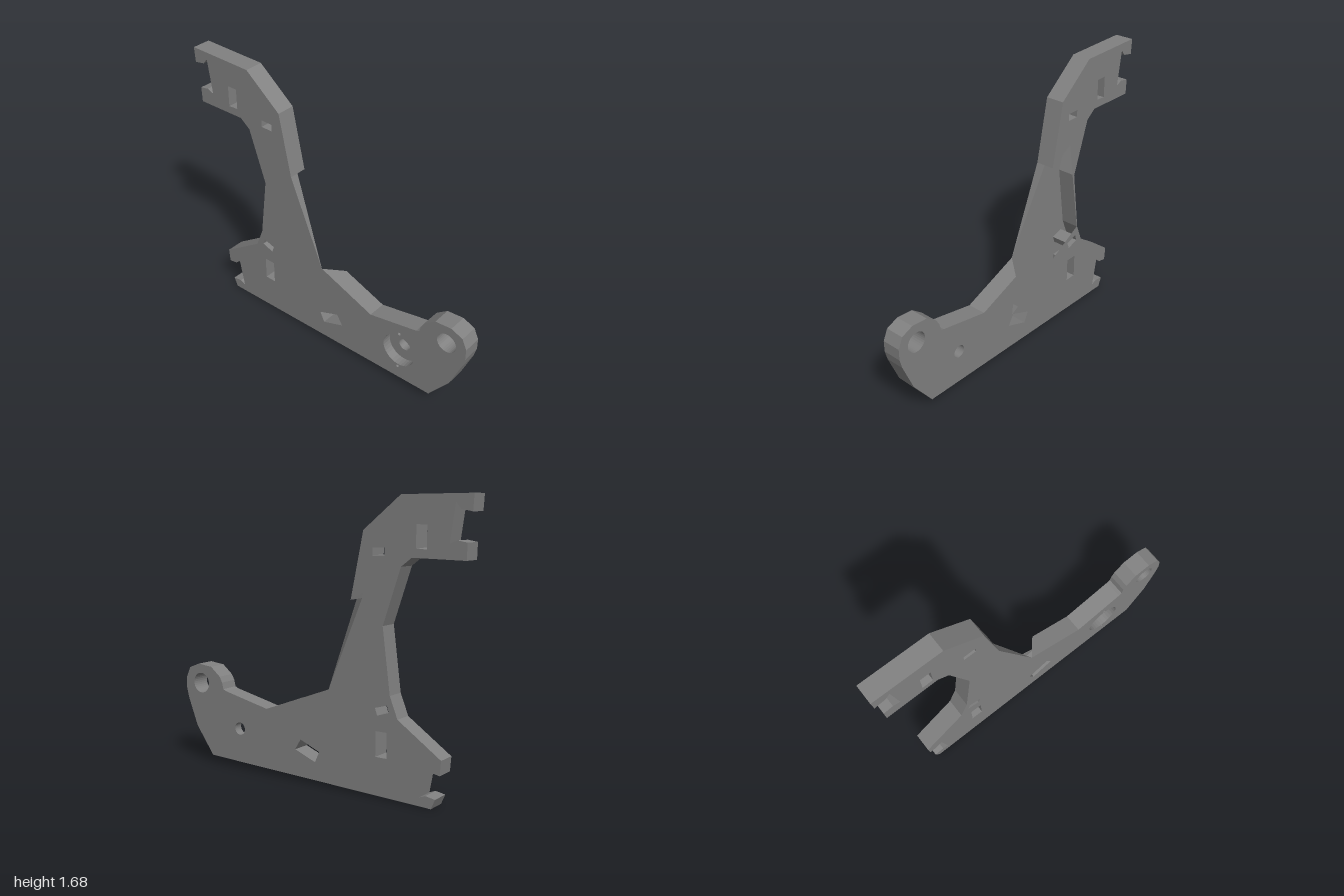
import * as THREE from 'three';

const X0 = -0.06, X1 = 0.055, BORE_X = 0.0;

// Profile points are [z, y]
const frontEnd = [
  [-0.785, 0.003], [0.785, 0.05], [0.915, 0.225], [0.985, 0.4], [1, 0.46], [1, 0.53],
  [0.97, 0.595], [0.895, 0.625], [0.79, 0.615], [0.72, 0.56], [0.7, 0.525], [0.69, 0.485],
  [0.67, 0.475], [0.345, 0.405],
];
const ledgeEnd = [-0.03, 0.55];
const arm = [
  [-0.26, 1.1], [-0.34, 1.485], [-0.575, 1.675], [-1, 1.68], [-0.994, 1.588], [-0.927, 1.6],
  [-0.898, 1.635], [-0.867, 1.425], [-0.91, 1.442], [-0.968, 1.432], [-0.965, 1.34],
  [-0.645, 1.345], [-0.58, 1.295], [-0.47, 0.97], [-0.52, 0.59], [-0.57, 0.465],
  [-0.842, 0.28], [-0.835, 0.195], [-0.78, 0.205], [-0.745, 0.235], [-0.712, 0.055],
  [-0.75, 0.07], [-0.81, 0.06],
];
const outline = [...frontEnd, ledgeEnd, ...arm];
// Outline of the opened side: the arm is cut away down to the lower body
const openOutline = [
  ...frontEnd, [0.065, 0.512], [0.1, 0.258], [-0.514, 0.594], [-0.42, 1.19], ...arm,
];

const circle = (z, y, r, n = 32) => Array.from({ length: n }, (_, i) => {
  const a = (i / n) * Math.PI * 2;
  return [z + r * Math.cos(a), y + r * Math.sin(a)];
});
const slots = [
  [[0.09, 0.255], [-0.045, 0.2], [-0.015, 0.135], [0.13, 0.19]],
  [[-0.4, 1.35], [-0.477, 1.35], [-0.477, 1.393], [-0.4, 1.393]],
  [[-0.67, 1.395], [-0.735, 1.39], [-0.735, 1.52], [-0.67, 1.52]],
  [[-0.43, 0.235], [-0.502, 0.235], [-0.502, 0.382], [-0.43, 0.382]],
  [[-0.425, 0.512], [-0.502, 0.535], [-0.515, 0.495], [-0.44, 0.47]],
];
const eye = circle(0.873, 0.505, 0.063);
const pivot = circle(0.557, 0.253, 0.039);
const bore = circle(0.557, 0.253, 0.11);
const pins = [-1, 1].map((s) => circle(0.557, 0.253 + s * 0.127, 0.01, 12));

// Flat face at a given x
function cap(points, holes, x) {
  const v = (p) => p.map(([z, y]) => new THREE.Vector2(-z, y));
  const shape = new THREE.Shape(v(points));
  shape.holes = holes.map((h) => new THREE.Path(v(h)));
  return new THREE.ShapeGeometry(shape).rotateY(Math.PI / 2).translate(x, 0, 0);
}

// Flat-shaded surface from convex polygons of [x, y, z] corners
function faces(polys) {
  const pos = [];
  for (const p of polys) {
    for (let i = 1; i < p.length - 1; i++) pos.push(...p[0], ...p[i], ...p[i + 1]);
  }
  const g = new THREE.BufferGeometry();
  g.setAttribute('position', new THREE.Float32BufferAttribute(pos, 3));
  g.computeVertexNormals();
  return g;
}

// Quads joining a profile across the thickness
const band = (pts, xa, xb, closed = true) => {
  const quads = [];
  for (let i = 0; i < pts.length - (closed ? 0 : 1); i++) {
    const [az, ay] = pts[i], [bz, by] = pts[(i + 1) % pts.length];
    quads.push([[xb, ay, az], [xa, ay, az], [xa, by, bz], [xb, by, bz]]);
  }
  return quads;
};

export function createModel() {
  const group = new THREE.Group();
  const metal = new THREE.MeshStandardMaterial({ color: 0x808080, side: THREE.DoubleSide });
  metal.name = 'grey metal';
  const add = (name, geometry) => {
    const mesh = new THREE.Mesh(geometry, metal);
    mesh.name = name;
    group.add(mesh);
  };

  // Side faces
  add('closedSideFace', cap(outline, [...slots, eye, bore, ...pins], X0));
  add('openSideFace', cap(openOutline, [...slots, eye, pivot], X1));

  // Rim, with the ledge and the front of the arm cut slantwise at the opening
  add('rim', faces([
    ...band([...arm, ...frontEnd], X0, X1, false),
    [[X1, 0.405, 0.345], [X0, 0.405, 0.345], [X0, 0.55, -0.03], [X1, 0.512, 0.065]],
    [[X0, 0.55, -0.03], [X0, 1.1, -0.26], [-0.005, 1.1, -0.26]],
  ]));

  // Walls of the slots and holes
  slots.forEach((s, i) => add(`slotWall${i + 1}`, faces(band(s, X1, X0))));
  add('eyeWall', faces(band(eye, X1, X0)));
  add('pivotWall', faces(band(pivot, X1, BORE_X)));

  // Counterbore with two pin holes
  add('counterboreWall', faces(band(bore, BORE_X, X0)));
  add('counterboreFloor', cap(bore, [pivot], BORE_X));
  pins.forEach((p, i) => {
    add(`pinWall${i + 1}`, faces(band(p, BORE_X, X0)));
    add(`pinFloor${i + 1}`, cap(p, [], BORE_X));
  });
  return group;
}
